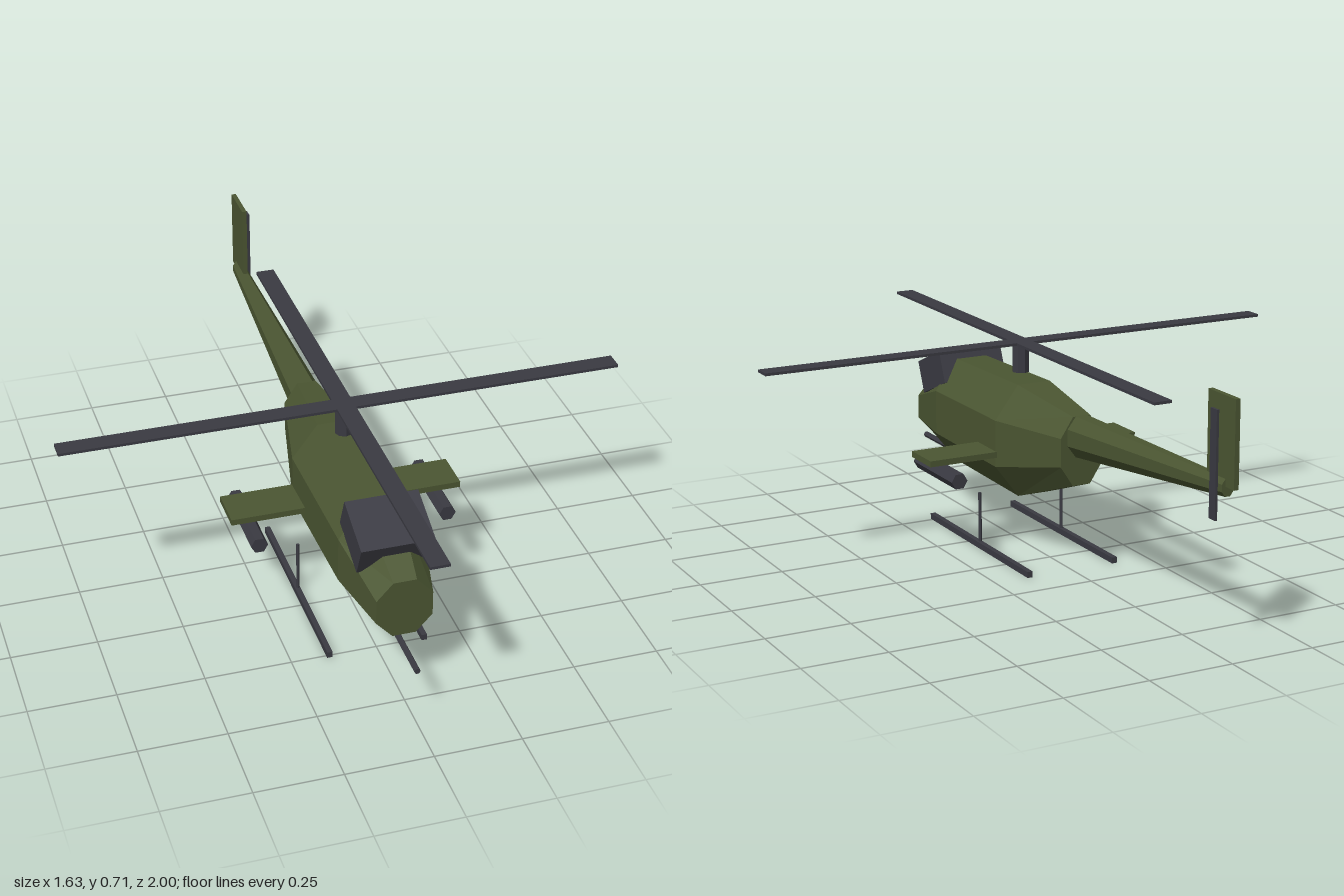
import * as THREE from 'three';

const green = new THREE.MeshStandardMaterial({ color: 0x4b5632, flatShading: true });
green.name = 'olive green';
const dark = new THREE.MeshStandardMaterial({ color: 0x3a3a42, flatShading: true });
dark.name = 'dark grey';

function add(group, name, geometry, material, x, y, z) {
  const mesh = new THREE.Mesh(geometry, material);
  mesh.name = name;
  mesh.position.set(x, y, z);
  group.add(mesh);
  return mesh;
}

const box = (w, h, d) => new THREE.BoxGeometry(w, h, d);

// Six-sided rod along z, flat on top
const rod = (radius, length) =>
  new THREE.CylinderGeometry(radius, radius, length, 6).rotateY(Math.PI / 2).rotateX(Math.PI / 2);

// Closed octagonal body through sections listed front to back: [z, centreY, halfWidth, halfHeight]
function loft(sections) {
  const n = 8, k = 1 / Math.cos(Math.PI / n), rings = [], out = [];
  for (const [z, cy, hw, hh] of sections) {
    const ring = [];
    for (let i = 0; i < n; i++) {
      const a = ((i + 0.5) / n) * Math.PI * 2;
      ring.push([Math.cos(a) * hw * k, cy + Math.sin(a) * hh * k, z]);
    }
    rings.push(ring);
  }
  const tri = (a, b, c) => out.push(...a, ...b, ...c);
  for (let s = 0; s < rings.length - 1; s++) {
    for (let i = 0; i < n; i++) {
      const j = (i + 1) % n, f = rings[s], b = rings[s + 1];
      tri(f[i], b[i], b[j]);
      tri(f[i], b[j], f[j]);
    }
  }
  const first = rings[0], last = rings[rings.length - 1];
  for (let i = 1; i < n - 1; i++) {
    tri(first[0], first[i], first[i + 1]);
    tri(last[0], last[i + 1], last[i]);
  }
  const geometry = new THREE.BufferGeometry();
  geometry.setAttribute('position', new THREE.Float32BufferAttribute(out, 3));
  geometry.computeVertexNormals();
  return geometry;
}

export function createModel() {
  const model = new THREE.Group();
  model.name = 'helicopter';

  // Body and tail
  add(model, 'fuselage', loft([
    [0.735, 0.302, 0.08, 0.087],
    [0.52, 0.338, 0.12, 0.163],
    [0.1, 0.34, 0.128, 0.17],
    [-0.19, 0.375, 0.067, 0.102],
  ]), green, 0, 0, 0);
  add(model, 'tailBoom', loft([
    [-0.17, 0.416, 0.046, 0.061],
    [-0.96, 0.467, 0.018, 0.024],
  ]), green, 0, 0, 0);
  add(model, 'tailFin', box(0.014, 0.24, 0.13), green, 0, 0.59, -0.935);
  add(model, 'tailRotor', box(0.007, 0.295, 0.03), dark, 0.025, 0.525, -0.931);

  // Tilted canopy block
  add(model, 'canopy', box(0.21, 0.1, 0.165), dark, 0, 0.451, 0.581).rotation.x = 0.4;

  // Main rotor
  add(model, 'mast', new THREE.CylinderGeometry(0.026, 0.026, 0.09, 8), dark, 0, 0.572, 0.183);
  add(model, 'rotorBladeAcross', box(1.635, 0.008, 0.055), dark, 0, 0.617, 0.182);
  add(model, 'rotorBladeAlong', box(0.055, 0.008, 1.635), dark, 0, 0.617, 0.182);

  // Stub wing and chin gun
  add(model, 'stubWing', box(0.684, 0.018, 0.127), green, 0, 0.308, 0.157);
  add(model, 'chinGun', rod(0.009, 0.22), dark, 0, 0.173, 0.74);

  // Mirrored pods and landing gear
  for (const side of [1, -1]) {
    const label = side > 0 ? 'left' : 'right';
    add(model, label + 'Pod', rod(0.025, 0.26), dark, side * 0.28, 0.264, 0.16);
    add(model, label + 'Skid', box(0.016, 0.018, 0.65), dark, side * 0.14, 0.009, 0.185);
    add(model, label + 'Strut', new THREE.CylinderGeometry(0.005, 0.005, 0.16, 6), dark, side * 0.138, 0.09, 0.185);
  }
  return model;
}
